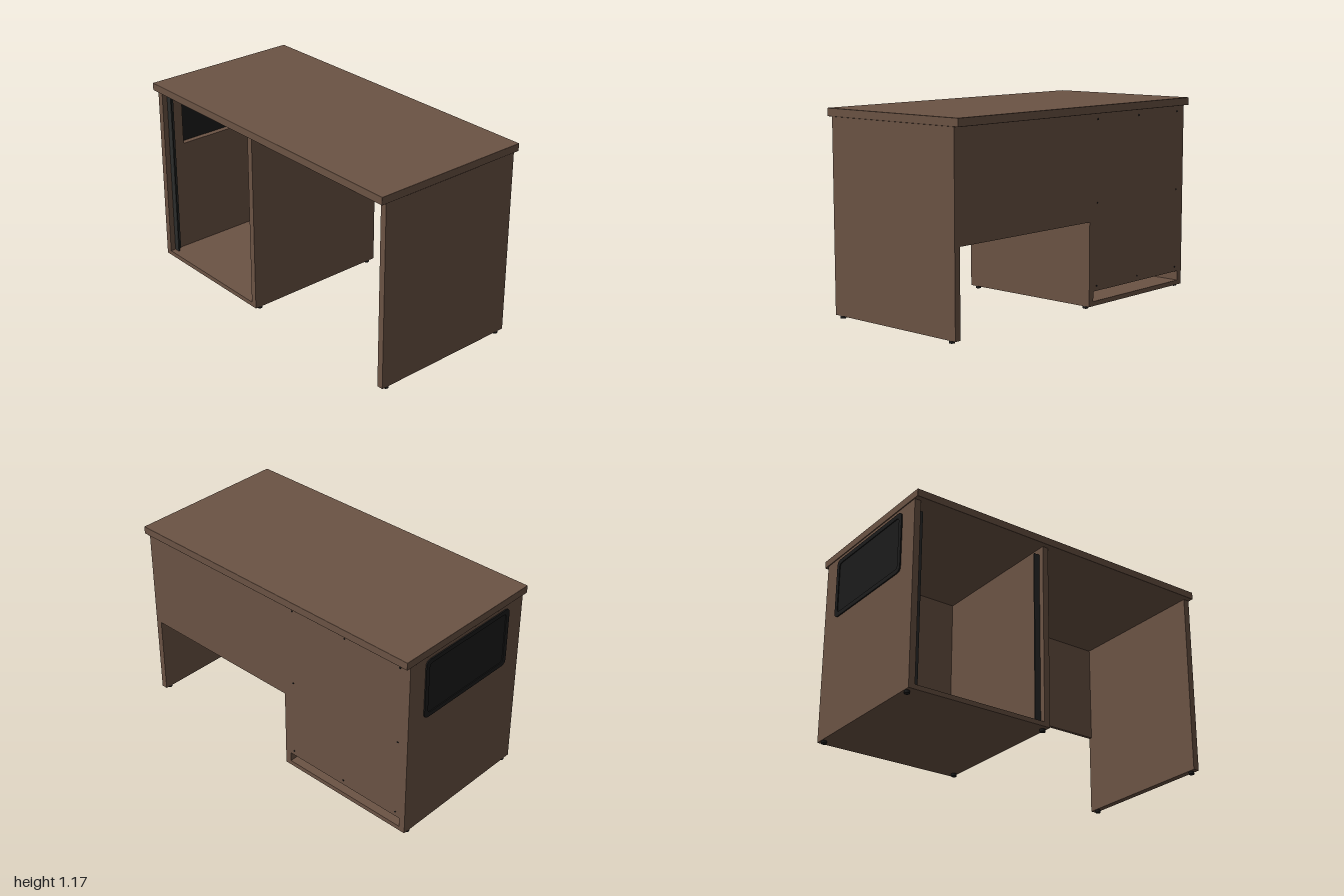
import * as THREE from 'three';
import { RoundedBoxGeometry } from 'three/addons/geometries/RoundedBoxGeometry.js';

const wood = new THREE.MeshStandardMaterial({ color: 0x6b5344 });
const metal = new THREE.MeshStandardMaterial({ color: 0x2b2c2b });
const black = new THREE.MeshStandardMaterial({ color: 0x1b1b1b });

// rounded rectangle in z (across) and y (up), from zMin..zMax, yMin..yMax
function roundedRect(Type, z, y0, y1, r) {
  const p = new Type();
  p.moveTo(-z + r, y0);
  p.lineTo(z - r, y0);
  p.quadraticCurveTo(z, y0, z, y0 + r);
  p.lineTo(z, y1 - r);
  p.quadraticCurveTo(z, y1, z - r, y1);
  p.lineTo(-z + r, y1);
  p.quadraticCurveTo(-z, y1, -z, y1 - r);
  p.lineTo(-z, y0 + r);
  p.quadraticCurveTo(-z, y0, -z + r, y0);
  return p;
}

export function createModel() {
  const desk = new THREE.Group();
  desk.name = 'desk';

  const add = (name, geometry, material) => {
    const mesh = new THREE.Mesh(geometry, material);
    mesh.name = name;
    desk.add(mesh);
    return mesh;
  };
  // box given by its limits on each axis
  const box = (name, [x0, x1], [y0, y1], [z0, z1], material = wood) =>
    add(name, new THREE.BoxGeometry(x1 - x0, y1 - y0, z1 - z0), material)
      .position.set((x0 + x1) / 2, (y0 + y1) / 2, (z0 + z1) / 2);
  // shape in z/y, extruded from x towards -x
  const sidePlate = (name, shape, x, depth, material) => {
    const g = new THREE.ExtrudeGeometry(shape, { depth, bevelEnabled: false, curveSegments: 6 });
    g.rotateY(-Math.PI / 2);
    add(name, g, material).position.x = x;
  };

  const depth = [-0.465, 0.465];
  const back = [-0.465, -0.445];

  // worktop
  add('worktop', new RoundedBoxGeometry(1.996, 0.046, 0.996, 2, 0.003), wood).position.y = 1.143;

  // upright panels; the cabinet's outer side has a vent opening
  box('legPanel', [0.955, 0.993], [0.015, 1.12], depth);
  box('dividerPanel', [-0.132, -0.095], [0.015, 1.12], depth);
  const side = roundedRect(THREE.Shape, 0.465, 0.015, 1.12, 0.0001);
  side.holes.push(roundedRect(THREE.Path, 0.33, 0.74, 1.085, 0.012));
  sidePlate('cabinetSide', side, -0.955, 0.038, wood);

  // cabinet floor and back panels
  box('cabinetFloor', [-0.955, -0.132], [0.015, 0.042], depth);
  box('cabinetBack', [-0.955, -0.132], [0.1, 1.12], back);
  box('modestyPanel', [-0.095, 0.955], [0.505, 1.12], back);

  // vent cover: raised frame around a slightly recessed plate
  const frame = roundedRect(THREE.Shape, 0.345, 0.73, 1.098, 0.035);
  frame.holes.push(roundedRect(THREE.Path, 0.318, 0.757, 1.071, 0.025));
  sidePlate('ventFrame', frame, -0.99, 0.01, black);
  sidePlate('ventPlate', roundedRect(THREE.Shape, 0.33, 0.742, 1.083, 0.012), -0.988, 0.007, black);

  // L-section mounting rails inside the cabinet front
  for (const [x, s] of [[-0.955, 1], [-0.132, -1]]) {
    const span = (a, b) => [x + s * a, x + s * b].sort((p, q) => p - q);
    box('railFlange', span(0, 0.036), [0.042, 1.08], [0.424, 0.432], metal);
    box('railWeb', span(0, 0.008), [0.042, 1.08], [0.395, 0.424], metal);
  }

  // feet under each upright
  for (const x of [-0.975, -0.114, 0.975]) {
    for (const z of [-0.423, 0.423]) {
      add('foot', new THREE.CylinderGeometry(0.016, 0.016, 0.016, 20), black).position.set(x, 0.008, z);
    }
  }

  // screws around the edge of the cabinet back
  for (const x of [-0.925, -0.543, -0.162]) {
    for (const y of [0.13, 0.61, 1.085]) {
      if (x === -0.543 && y === 0.61) continue;
      const g = new THREE.CylinderGeometry(0.005, 0.005, 0.006, 12).rotateX(Math.PI / 2);
      add('screw', g, black).position.set(x, y, -0.465);
    }
  }
  return desk;
}
